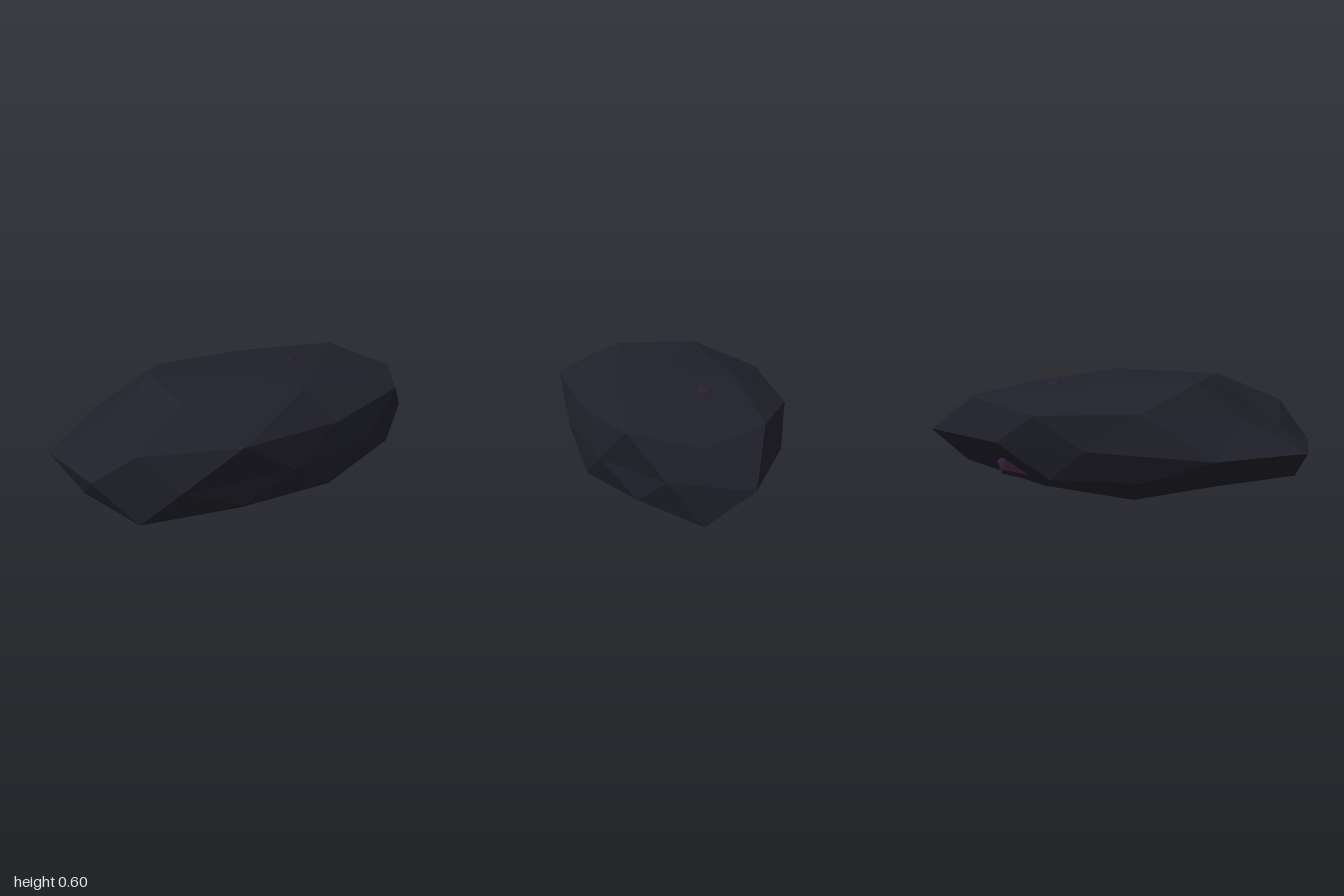
import * as THREE from 'three';

export function createModel() {
  const group = new THREE.Group();
  const stone = new THREE.MeshStandardMaterial({ color: 0x20202b, flatShading: true });
  stone.name = 'dark stone';
  const violet = new THREE.MeshStandardMaterial({ color: 0x2f1c33, flatShading: true });
  violet.name = 'dark violet crystal';

  // Rock cross-sections from top to bottom, each a loop turning from +x towards +z
  const top = [0, 0.59, 0];
  const crown = [[0.4, 0.55, 0], [0.15, 0.59, 0.3], [-0.45, 0.6, 0.2], [-0.45, 0.597, -0.2], [0.15, 0.56, -0.3]];
  const shoulder = [
    [0.86, 0.45, 0], [0.69, 0.485, 0.32], [0.26, 0.45, 0.45], [-0.3, 0.495, 0.54], [-0.75, 0.46, 0.33],
    [-0.82, 0.37, 0], [-0.68, 0.43, -0.18], [-0.28, 0.485, -0.515], [0.26, 0.45, -0.535], [0.69, 0.49, -0.325],
  ];
  const middle = [
    [0.84, 0.29, 0.16], [0.47, 0.29, 0.42], [-0.01, 0.29, 0.515], [-0.59, 0.29, 0.47], [-0.925, 0.29, 0.18],
    [-1, 0.29, -0.2], [-0.65, 0.29, -0.545], [0, 0.29, -0.53], [0.5, 0.29, -0.455], [1, 0.29, -0.21],
  ];
  const flank = [
    [0.9, 0.09, 0], [0.69, 0.155, 0.27], [0.22, 0.12, 0.455], [-0.27, 0.145, 0.475], [-0.75, 0.09, 0.33],
    [-0.9, 0.135, 0], [-0.55, 0.16, -0.25], [-0.26, 0.14, -0.45], [0.22, 0.12, -0.44], [0.57, 0.17, -0.25],
  ];
  const base = [[0.37, 0.015, 0.2], [-0.18, 0.005, 0.29], [-0.5, 0.05, 0], [-0.16, 0.015, -0.28], [0.36, 0.03, -0.2]];
  const bottom = [0, 0.01, 0];

  const points = [];
  const tri = (a, b, c) => points.push(...a, ...b, ...c);
  const at = (ring, i) => ring[(i + ring.length) % ring.length];

  // Caps and the five-to-ten point bands
  for (let k = 0; k < 5; k++) {
    const a = at(crown, k), a1 = at(crown, k + 1);
    tri(top, a1, a);
    tri(a, at(shoulder, 2 * k), at(shoulder, 2 * k - 1));
    tri(a, at(shoulder, 2 * k + 1), at(shoulder, 2 * k));
    tri(a, a1, at(shoulder, 2 * k + 1));

    const e = at(base, k), e1 = at(base, k + 1), j = 2 * k + 1;
    tri(bottom, e, e1);
    tri(e, at(flank, j - 1), at(flank, j));
    tri(e, at(flank, j), at(flank, j + 1));
    tri(e1, e, at(flank, j + 1));
  }
  // Ten-point bands above and below the middle
  for (let k = 0; k < 10; k++) {
    const m = at(middle, k), m1 = at(middle, k + 1);
    tri(at(shoulder, k), at(shoulder, k + 1), m);
    tri(at(shoulder, k + 1), m1, m);
    tri(at(flank, k + 1), at(flank, k), m);
    tri(at(flank, k + 1), m, m1);
  }
  const rockGeometry = new THREE.BufferGeometry();
  rockGeometry.setAttribute('position', new THREE.Float32BufferAttribute(points, 3));
  rockGeometry.computeVertexNormals();
  const rock = new THREE.Mesh(rockGeometry, stone);
  rock.name = 'rock';
  group.add(rock);

  // Six-sided crystals pointed at both ends, mostly buried in the rock
  function addCrystal(name, from, to, radius) {
    const a = new THREE.Vector3(...from), b = new THREE.Vector3(...to);
    const h = a.distanceTo(b) / 2;
    const profile = [[0, -h], [radius, -h * 0.8], [radius, h * 0.8], [0, h]].map(p => new THREE.Vector2(...p));
    const crystal = new THREE.Mesh(new THREE.LatheGeometry(profile, 6), violet);
    crystal.position.copy(a).lerp(b, 0.5);
    crystal.quaternion.setFromUnitVectors(new THREE.Vector3(0, 1, 0), b.sub(a).normalize());
    crystal.name = name;
    group.add(crystal);
  }
  addCrystal('undersideCrystal', [0.28, 0.06, -0.09], [0.6, 0.15, -0.25], 0.058);
  addCrystal('upperCrystal', [0.42, 0.2, -0.16], [0.31, 0.572, -0.1], 0.05);

  return group;
}
